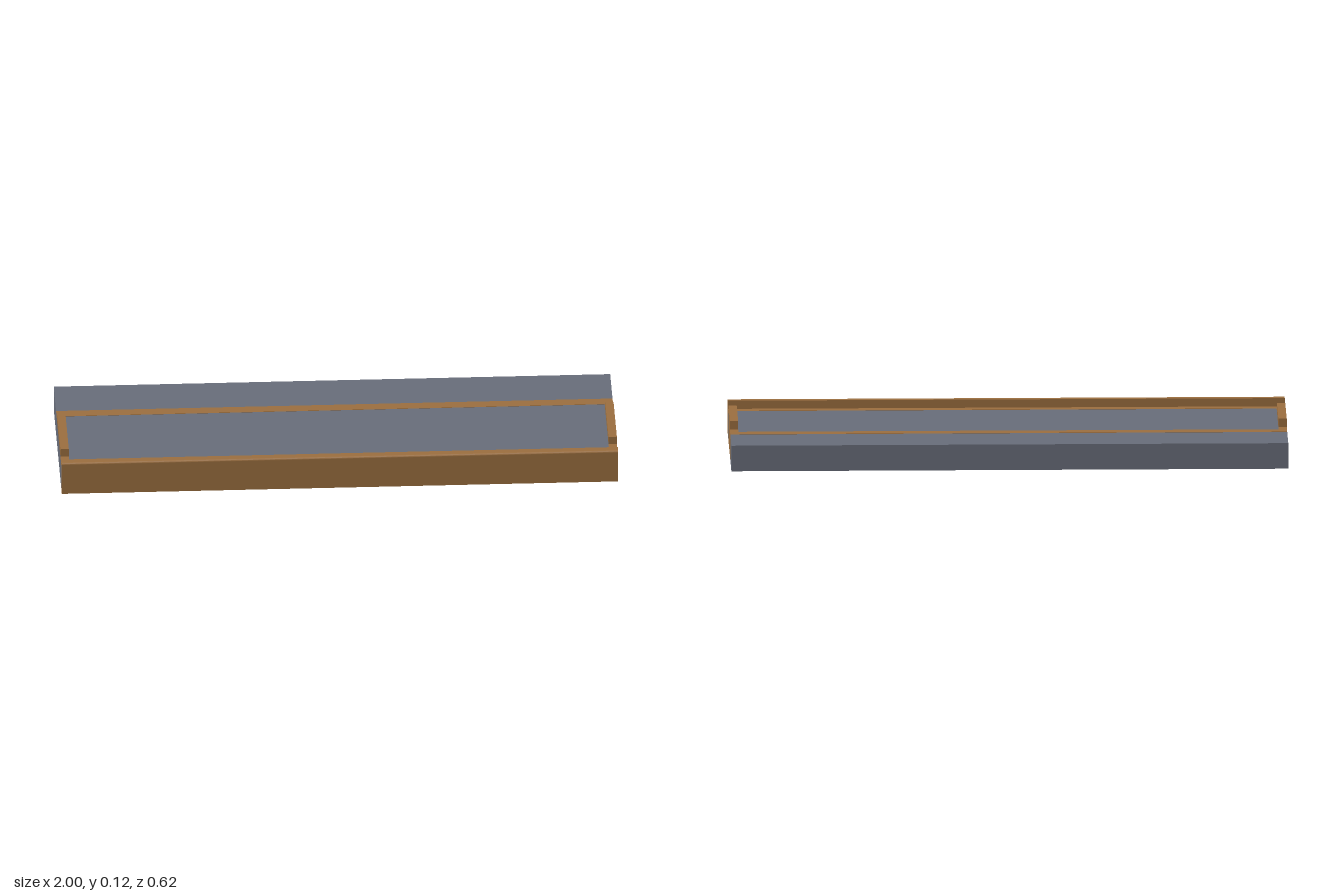
import * as THREE from 'three';

export function createModel() {
  const group = new THREE.Group();
  const wood = new THREE.MeshStandardMaterial({ color: 0x9c6f3f });
  wood.name = 'brown wood';
  const slate = new THREE.MeshStandardMaterial({ color: 0x686d7a });
  slate.name = 'slate grey';

  // Box given by its minimum and maximum corners
  const box = (name, material, [x0, y0, z0], [x1, y1, z1]) => {
    const mesh = new THREE.Mesh(new THREE.BoxGeometry(x1 - x0, y1 - y0, z1 - z0), material);
    mesh.position.set((x0 + x1) / 2, (y0 + y1) / 2, (z0 + z1) / 2);
    mesh.name = name;
    group.add(mesh);
  };

  const deck = 0.094, inlay = 0.095, top = 0.125, front = 0.283;

  // Main slab
  box('slab', slate, [-1, 0, -0.312], [0.999, deck, front]);

  // Inlaid wooden frame around the central panel
  box('backInlay', wood, [-1, deck - 0.002, -0.13], [1, inlay, -0.09]);
  box('frontInlay', wood, [-1, deck - 0.002, 0.25], [1, inlay, front]);
  for (const [side, x0, x1] of [['left', 0.97, 1], ['right', -1, -0.97]]) {
    box(side + 'Inlay', wood, [x0, deck - 0.002, -0.09], [x1, inlay, 0.25]);
    // Raised end rail
    box(side + 'Rail', wood, [x0, deck - 0.002, -0.05], [x1, top, 0.207]);
  }

  // Thin end panel and the slab ends that flank it
  box('leftEndPanel', wood, [0.998, 0, -0.13], [1, deck, 0.207]);
  box('leftEndBack', slate, [0.998, 0, -0.312], [1, deck, -0.13]);
  box('leftEndFront', slate, [0.998, 0, 0.207], [1, deck, front]);

  // Front board with a softened upper front edge
  const r = 0.007, depth = 0.312 - front;
  const profile = new THREE.Shape();
  profile.moveTo(0, 0);
  profile.lineTo(depth, 0);
  profile.lineTo(depth, top - r);
  profile.absarc(depth - r, top - r, r, 0, Math.PI / 2, false);
  profile.lineTo(0, top);
  profile.closePath();
  const geometry = new THREE.ExtrudeGeometry(profile, { depth: 2, bevelEnabled: false, curveSegments: 4 });
  geometry.rotateY(-Math.PI / 2); // profile x becomes z, extrusion runs along -x
  geometry.translate(1, 0, front);
  const board = new THREE.Mesh(geometry, wood);
  board.name = 'frontBoard';
  group.add(board);

  return group;
}
